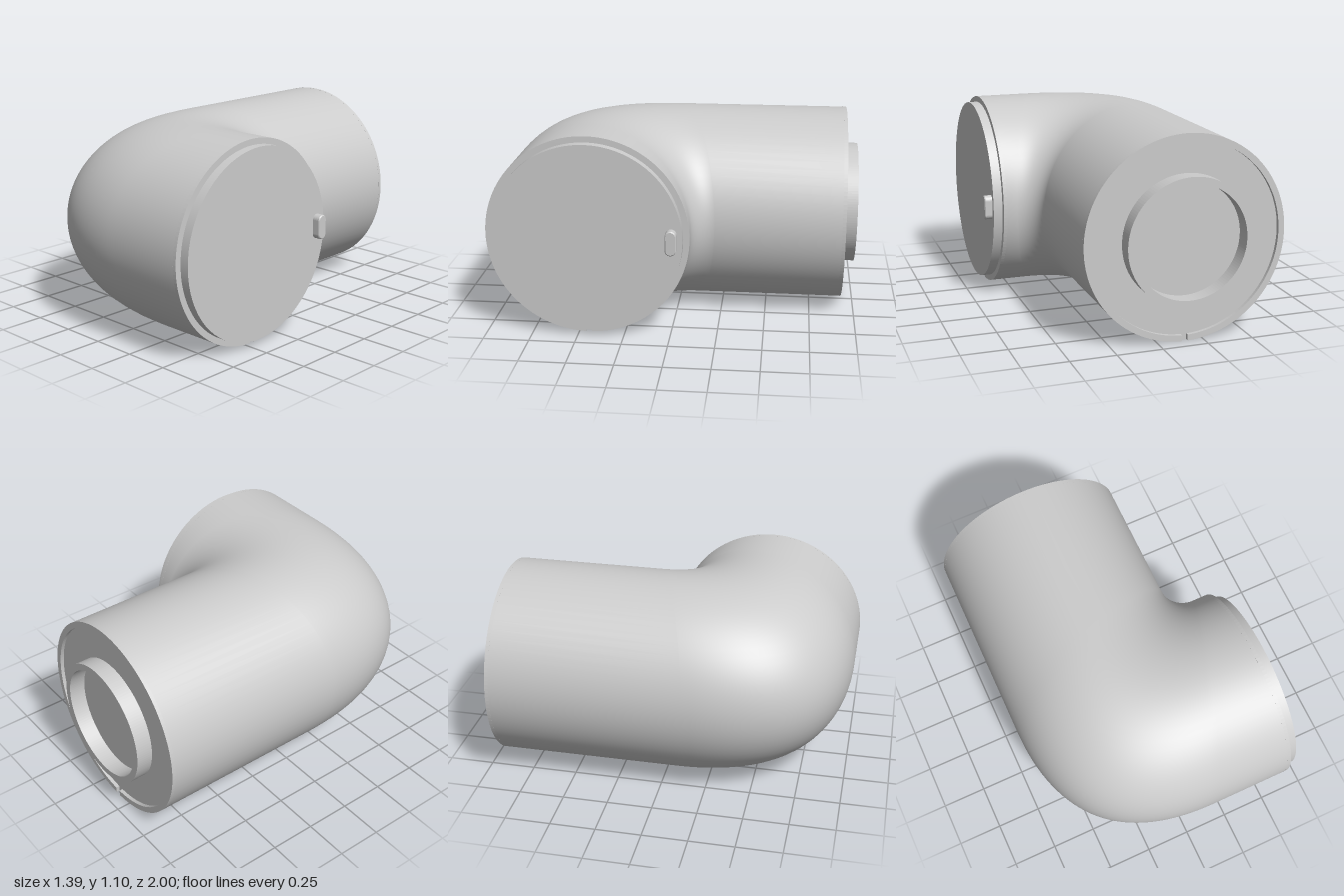
import * as THREE from 'three';

const R = 0.55;   // pipe radius and axis height
const material = new THREE.MeshStandardMaterial({ color: 0xcccccc });

function add(parent, name, geometry) {
  const mesh = new THREE.Mesh(geometry, material);
  mesh.name = name;
  parent.add(mesh);
  return mesh;
}

// Elbow skin: elliptical sections spanned between the inner and outer bend lines
function elbowGeometry() {
  const around = 72, steps = 32;
  const outerBend = new THREE.QuadraticBezierCurve(
    new THREE.Vector2(-0.6975, 0.155),
    new THREE.Vector2(-0.6975, 0.9975),
    new THREE.Vector2(0.145, 0.9975));
  const sections = [[0.4025, -0.91, -0.6975, -0.91]]; // inner x, z, outer x, z
  for (let i = 0; i <= steps; i++) {
    const t = i / steps, a = t * Math.PI / 2, outer = outerBend.getPoint(t);
    sections.push([0.5225 - 0.12 * Math.cos(a), -0.2225 + 0.12 * Math.sin(a), outer.x, outer.y]);
  }
  sections.push([0.58, -0.1025, 0.58, 0.9975]);

  const positions = [], index = [];
  sections.forEach(([ix, iz, ox, oz], i) => {
    for (let j = 0; j < around; j++) {
      const a = (j / around) * Math.PI * 2, k = Math.cos(a) / 2;
      positions.push(
        (ix + ox) / 2 + (ox - ix) * k,
        R + R * Math.sin(a),
        (iz + oz) / 2 + (oz - iz) * k);
      if (i === sections.length - 1) continue;
      const p = i * around + j, q = i * around + (j + 1) % around;
      index.push(p, p + around, q, q, p + around, q + around);
    }
  });
  const g = new THREE.BufferGeometry();
  g.setAttribute('position', new THREE.Float32BufferAttribute(positions, 3));
  g.setIndex(index);
  g.computeVertexNormals();
  return g;
}

function extrude(shape, depth) {
  return new THREE.ExtrudeGeometry(shape, { depth, bevelEnabled: false, curveSegments: 72 });
}

// Pipe rim with a small gap at the bottom
function rimGeometry(outer, inner, depth, gap) {
  const from = -Math.PI / 2 + gap, to = 1.5 * Math.PI - gap;
  const shape = new THREE.Shape();
  shape.absarc(0, 0, outer, from, to, false);
  shape.absarc(0, 0, inner, to, from, true);
  shape.closePath();
  return extrude(shape, depth);
}

function ringGeometry(outer, inner, depth) {
  const shape = new THREE.Shape();
  shape.absarc(0, 0, outer, 0, Math.PI * 2);
  shape.holes.push(new THREE.Path().absarc(0, 0, inner, 0, Math.PI * 2, true));
  return extrude(shape, depth);
}

// Upright capsule with half width r and half height h, chamfered at its face
function knobGeometry(r, h, depth) {
  const shape = new THREE.Shape();
  shape.absarc(0, h - r, r, 0, Math.PI, false);
  shape.absarc(0, r - h, r, Math.PI, Math.PI * 2, false);
  shape.closePath();
  return new THREE.ExtrudeGeometry(shape, {
    depth, curveSegments: 16, bevelSize: 0.005, bevelThickness: 0.005, bevelOffset: -0.005, bevelSegments: 1,
  });
}

// Pipe end with local +z pointing outwards
function pipeEnd(name, x, z, turn) {
  const end = new THREE.Group();
  end.name = name;
  end.position.set(x, R, z);
  end.rotation.y = turn;
  add(end, 'rim', rimGeometry(R, 0.517, 0.02, 0.03));
  add(end, 'endPlate', new THREE.CircleGeometry(R, 72));
  return end;
}

export function createModel() {
  const model = new THREE.Group();
  model.name = 'pipeElbow';
  add(model, 'elbowBody', elbowGeometry());

  // Rear end: recessed plate with a raised open collar
  const rear = pipeEnd('rearEnd', -0.1475, -0.91, Math.PI);
  add(rear, 'collar', ringGeometry(0.342, 0.305, 0.09));
  model.add(rear);

  // Side end: protruding lid with a small knob near its inner edge
  const side = pipeEnd('sideEnd', 0.58, 0.4475, Math.PI / 2);
  const lid = add(side, 'lid', new THREE.CylinderGeometry(0.517, 0.517, 0.07, 72));
  lid.rotation.x = Math.PI / 2;
  lid.position.z = 0.035;
  const knob = add(side, 'knob', knobGeometry(0.03, 0.068, 0.04));
  knob.position.set(0.457, 0.005, 0.068);
  model.add(side);

  return model;
}
